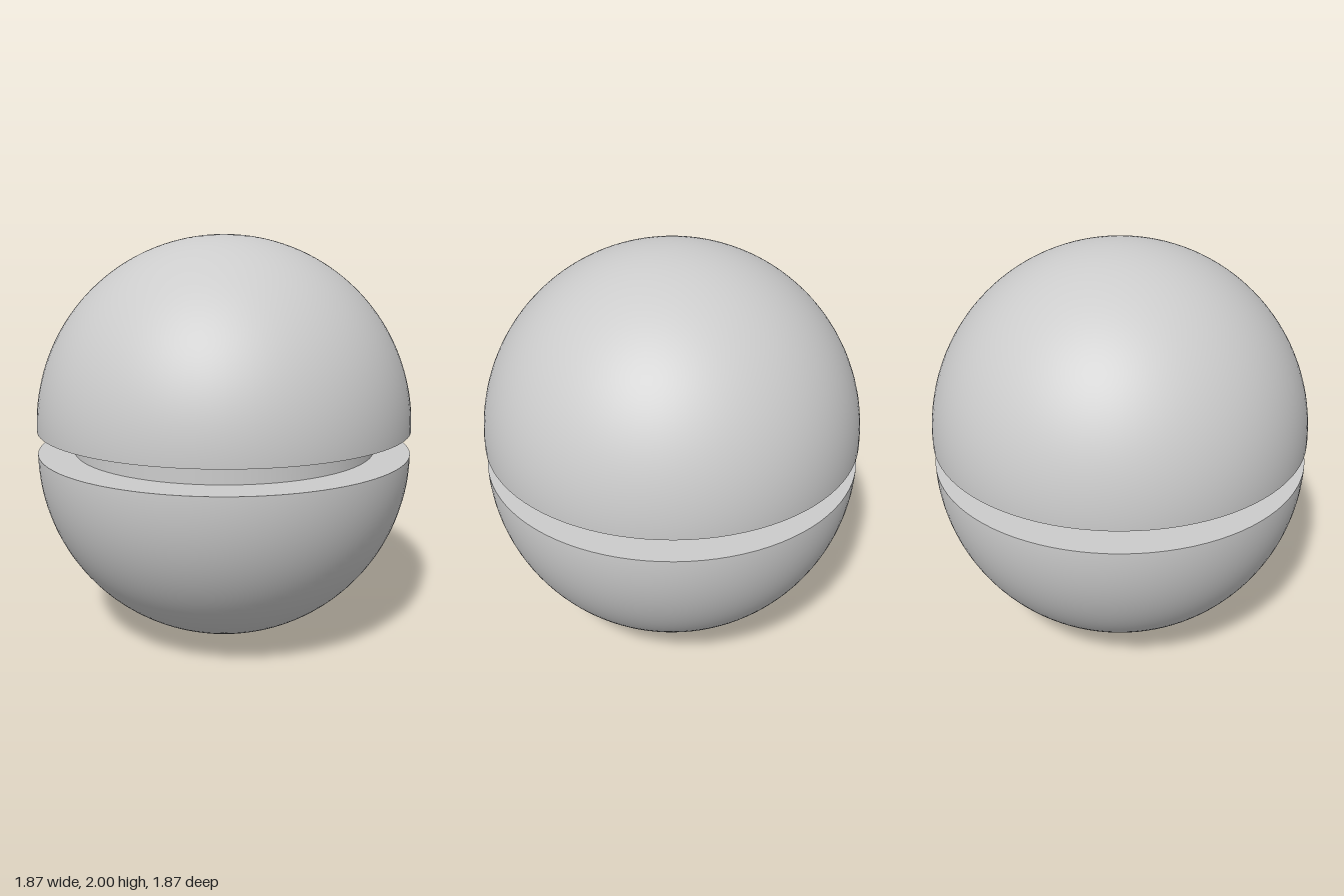
import * as THREE from 'three';

const R = 0.933;        // shell radius
const CORE = 0.755;     // radius of the recessed band
const RIM_TOP = 1.06, RIM_LOW = 0.945;

export function createModel() {
  const group = new THREE.Group();
  const material = new THREE.MeshStandardMaterial({ color: 0xcccccc });

  const add = (name, geometry, parent) => {
    const mesh = new THREE.Mesh(geometry, material);
    mesh.name = name;
    parent.add(mesh);
    return mesh;
  };

  // One half: a smooth dome cut flat at the rim, plus the ring-shaped rim face
  const addHalf = (name, centreY, rimY, flip) => {
    const half = new THREE.Group();
    half.name = name;
    const cut = Math.acos((rimY - centreY) * (flip ? -1 : 1) / R);
    const dome = add(name + 'Dome', new THREE.SphereGeometry(R, 96, 40, 0, Math.PI * 2, 0, cut), half);
    dome.position.y = centreY;
    if (flip) dome.rotation.x = Math.PI;
    const rim = add(name + 'Rim', new THREE.RingGeometry(CORE, R * Math.sin(cut), 96), half);
    rim.rotation.x = flip ? -Math.PI / 2 : Math.PI / 2;
    rim.position.y = rimY;
    group.add(half);
  };

  addHalf('upperShell', 2 - R, RIM_TOP, false);
  addHalf('lowerShell', R, RIM_LOW, true);

  // Recessed band joining the halves
  const band = add('innerBand',
    new THREE.CylinderGeometry(CORE, CORE, RIM_TOP - RIM_LOW, 96, 1, true), group);
  band.position.y = (RIM_TOP + RIM_LOW) / 2;

  return group;
}
